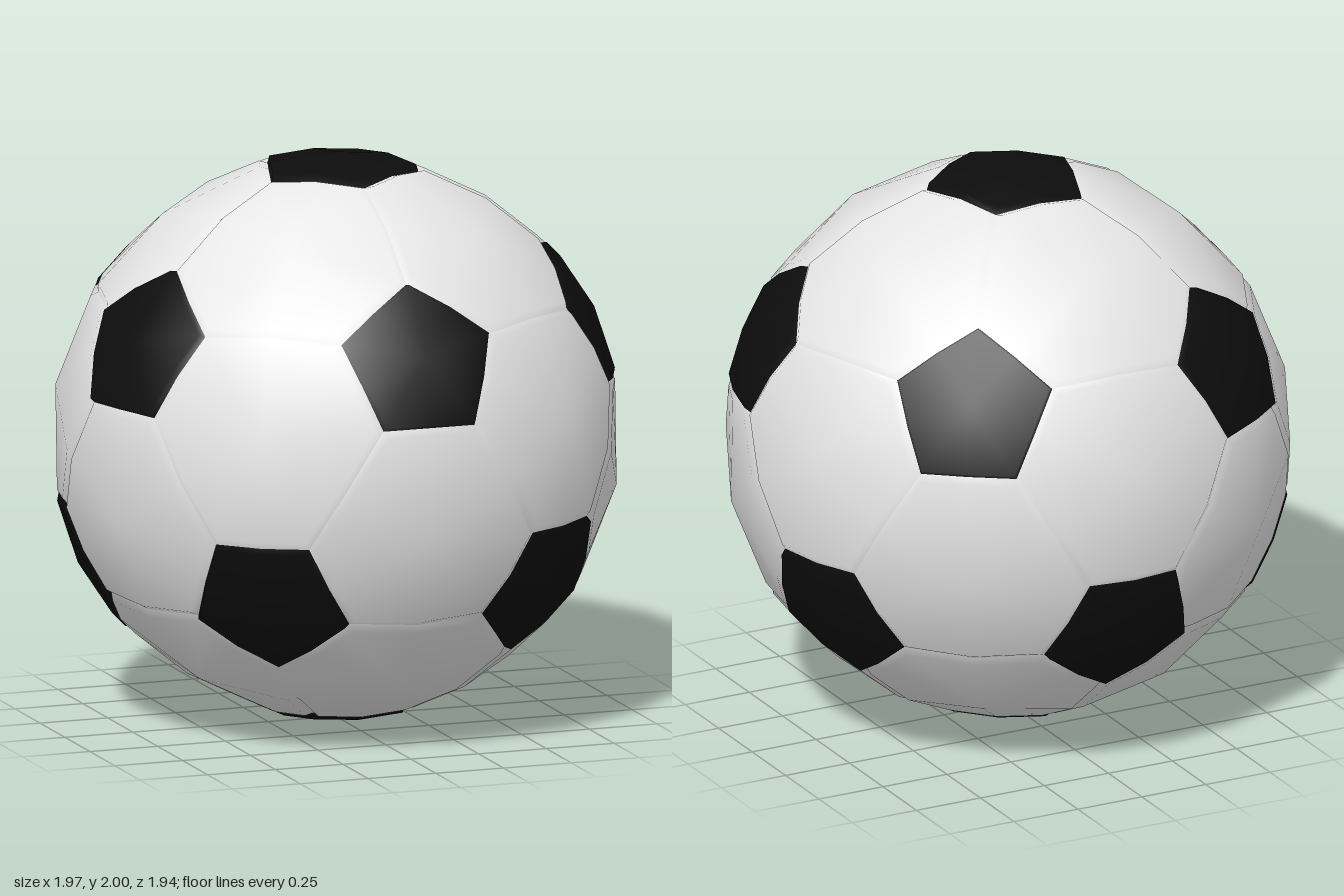
import * as THREE from 'three';

const SEAM = 0.97;                                 // radius at the grooves
const CORNER = THREE.MathUtils.degToRad(17.1);     // pentagon centre to corner

const white = new THREE.MeshStandardMaterial({ color: 0xe6e6e6 });
white.name = 'white leather';
const black = new THREE.MeshStandardMaterial({ color: 0x0d0d0d });
black.name = 'black leather';

// Twelve pentagon centres: both poles and two staggered rings of five
function pentagonCentres() {
  const list = [new THREE.Vector3(0, 1, 0), new THREE.Vector3(0, -1, 0)];
  const y = 1 / Math.sqrt(5), r = 2 / Math.sqrt(5);
  for (let i = 0; i < 10; i++) {
    const a = i * Math.PI / 5;
    list.push(new THREE.Vector3(r * Math.sin(a), i % 2 ? -y : y, r * Math.cos(a)));
  }
  return list;
}

// Panel corner next to pentagon centre a, on the way to centre b
function cornerToward(a, b) {
  const side = b.clone().addScaledVector(a, -a.dot(b)).normalize();
  return a.clone().multiplyScalar(Math.cos(CORNER)).addScaledVector(side, Math.sin(CORNER));
}

// Padded panel: crown point, raised ring and a rim sunk into the seam
function panel(centre, corners, crown, raised, inset, material, name) {
  const u = corners[0].clone().addScaledVector(centre, -centre.dot(corners[0])).normalize();
  const w = centre.clone().cross(u);
  const angle = p => Math.atan2(p.dot(w), p.dot(u));
  const sorted = [...corners].sort((p, q) => angle(p) - angle(q));
  const outline = [];
  sorted.forEach((p, i) => {
    const q = sorted[(i + 1) % sorted.length];
    outline.push(p, p.clone().add(q).normalize());
  });

  const n = outline.length;
  const points = [centre.clone().multiplyScalar(crown)];
  for (const p of outline) points.push(centre.clone().lerp(p, inset).normalize().multiplyScalar(raised));
  for (const p of outline) points.push(p.clone().multiplyScalar(SEAM));
  const index = [];
  for (let i = 0; i < n; i++) {
    const j = (i + 1) % n;
    const a = 1 + i, b = 1 + j, c = 1 + n + i, d = 1 + n + j;
    index.push(0, a, b, a, c, d, a, d, b);
  }
  const geometry = new THREE.BufferGeometry().setFromPoints(points);
  geometry.setIndex(index);
  geometry.computeVertexNormals();

  // Soften the shading so that the seams stay faint
  const normals = geometry.attributes.normal;
  const v = new THREE.Vector3();
  points.forEach((p, i) => {
    v.fromBufferAttribute(normals, i).multiplyScalar(0.25);
    v.addScaledVector(p.clone().normalize(), 0.75).normalize();
    normals.setXYZ(i, v.x, v.y, v.z);
  });
  const mesh = new THREE.Mesh(geometry, material);
  mesh.name = name;
  return mesh;
}

export function createModel() {
  const ball = new THREE.Group();
  ball.name = 'football';
  const centres = pentagonCentres();
  const near = (a, b) => a !== b && a.dot(b) > 0.4;

  // Black pentagons
  centres.forEach(c => {
    const corners = centres.filter(o => near(c, o)).map(o => cornerToward(c, o));
    ball.add(panel(c, corners, 1, 0.993, 0.95, black, 'pentagonPanel'));
  });

  // White hexagons, one between every three neighbouring pentagons
  for (let i = 0; i < 12; i++) for (let j = i + 1; j < 12; j++) for (let k = j + 1; k < 12; k++) {
    const [a, b, c] = [centres[i], centres[j], centres[k]];
    if (!near(a, b) || !near(b, c) || !near(a, c)) continue;
    const centre = a.clone().add(b).add(c).normalize();
    const corners = [[a, b], [b, a], [b, c], [c, b], [c, a], [a, c]].map(([p, q]) => cornerToward(p, q));
    ball.add(panel(centre, corners, 0.99, 0.985, 0.93, white, 'hexagonPanel'));
  }

  ball.position.y = 1;
  const model = new THREE.Group();
  model.name = 'ball';
  model.add(ball);
  return model;
}
